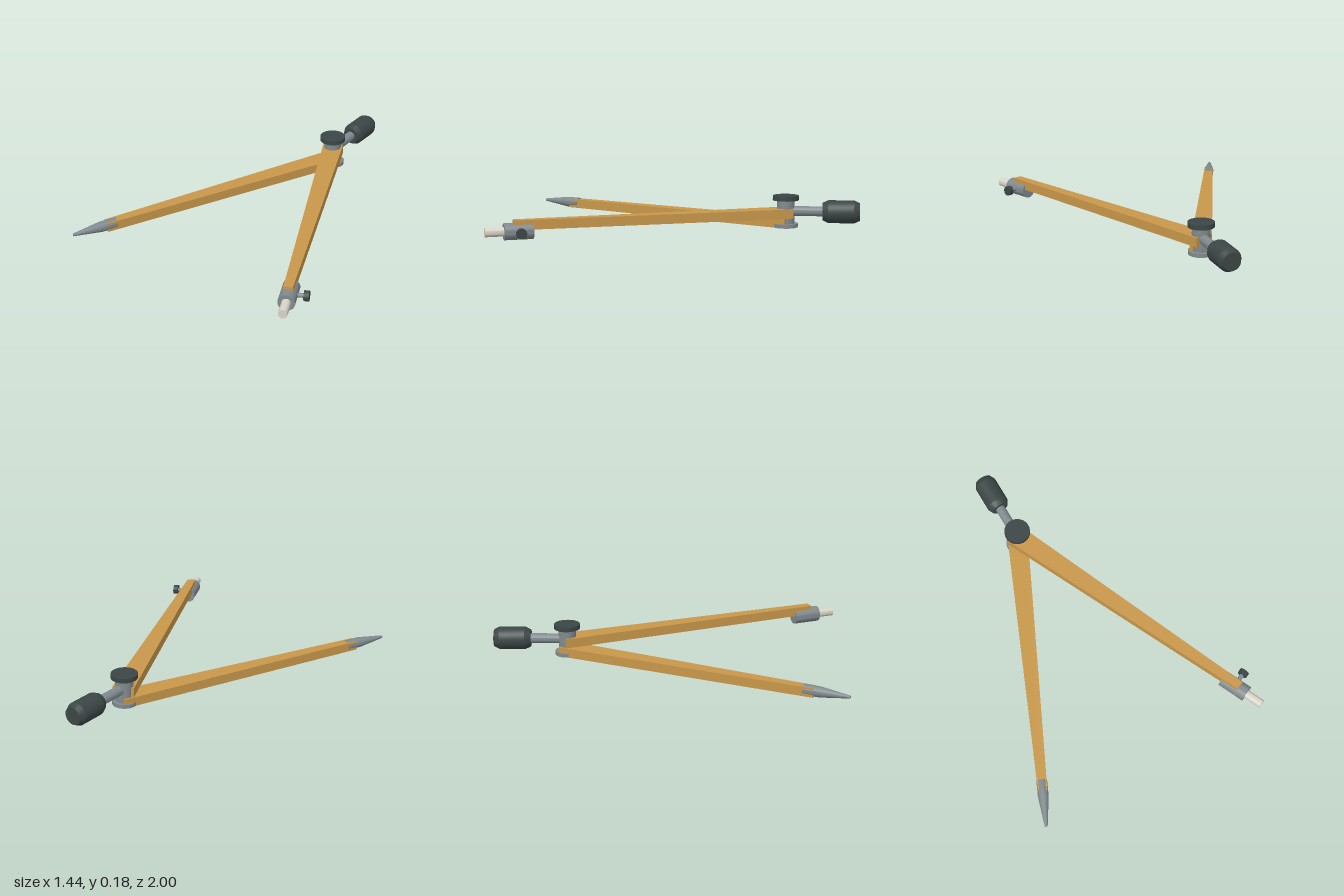
import * as THREE from 'three';
import { toCreasedNormals } from 'three/addons/utils/BufferGeometryUtils.js';

const wood = new THREE.MeshStandardMaterial({ color: 0xc8974a });
const metal = new THREE.MeshStandardMaterial({ color: 0x808a8e });
const dark = new THREE.MeshStandardMaterial({ color: 0x3c4646 });
const chalk = new THREE.MeshStandardMaterial({ color: 0xd8d4c8 });

const SPREAD = 0.42; // half the opening angle of the legs

function add(parent, name, geometry, material) {
  const mesh = new THREE.Mesh(geometry, material);
  mesh.name = name;
  parent.add(mesh);
  return mesh;
}

// Turned part along +y from [radius, height] pairs, with crisp edges
function turned(points) {
  const profile = points.map(([r, h]) => new THREE.Vector2(r, h));
  return toCreasedNormals(new THREE.LatheGeometry(profile, 32), 0.4);
}

function rod(radius, from, to) {
  return turned([[0, from], [radius, from], [radius, to], [0, to]]);
}

// Wooden bar along +z, narrowing towards its far end
function legBar(from, to, y0, y1, halfStart, halfEnd) {
  const g = new THREE.BoxGeometry(2, y1 - y0, to - from);
  g.translate(0, (y0 + y1) / 2, (from + to) / 2);
  const p = g.attributes.position;
  for (let i = 0; i < p.count; i++) {
    const t = (p.getZ(i) - from) / (to - from);
    p.setX(i, p.getX(i) * THREE.MathUtils.lerp(halfStart, halfEnd, t));
  }
  g.computeVertexNormals();
  return g;
}

export function createModel() {
  const model = new THREE.Group();
  model.name = 'drawingCompass';
  const pivot = new THREE.Group();
  pivot.name = 'pivot';
  pivot.position.set(-0.016, 0, -0.58);
  model.add(pivot);

  // Hinge bolt with base washer and clamping knob
  add(pivot, 'hingeBolt', rod(0.05, 0.01, 0.157), metal);
  add(pivot, 'baseWasher', rod(0.07, 0, 0.022), metal);
  add(pivot, 'clampKnob', rod(0.074, 0.155, 0.181), dark);

  // Handle pointing backwards
  const handle = new THREE.Group();
  handle.name = 'handle';
  handle.position.y = 0.093;
  handle.rotation.x = -Math.PI / 2;
  pivot.add(handle);
  add(handle, 'handleShaft', rod(0.028, 0, 0.23), metal);
  add(handle, 'handleGrip', turned([
    [0, 0.21], [0.05, 0.21], [0.065, 0.242], [0.065, 0.388], [0.05, 0.42], [0, 0.42],
  ]), dark);

  // Lower leg with its pointed steel tip
  const pointLeg = new THREE.Group();
  pointLeg.name = 'pointLeg';
  pointLeg.rotation.y = -SPREAD;
  pivot.add(pointLeg);
  add(pointLeg, 'lowerLegBar', legBar(-0.025, 1.51, 0, 0.053, 0.06, 0.026), wood);
  const tip = add(pointLeg, 'steelTip', turned([
    [0, 1.45], [0.03, 1.45], [0.03, 1.54], [0.008, 1.708], [0, 1.71],
  ]), metal);
  tip.rotation.x = Math.PI / 2;
  tip.position.y = 0.03;

  // Upper leg with chalk holder
  const chalkLeg = new THREE.Group();
  chalkLeg.name = 'chalkLeg';
  chalkLeg.rotation.y = SPREAD;
  pivot.add(chalkLeg);
  add(chalkLeg, 'upperLegBar', legBar(-0.025, 1.56, 0.055, 0.108, 0.06, 0.025), wood);
  const holder = new THREE.Group();
  holder.name = 'chalkHolder';
  holder.position.y = 0.046;
  holder.rotation.x = Math.PI / 2;
  chalkLeg.add(holder);
  add(holder, 'holderSleeve', rod(0.046, 1.453, 1.612), metal);
  add(holder, 'chalkStick', rod(0.025, 1.5, 1.715), chalk);

  // Thumbscrew on the outer side of the holder
  const screw = new THREE.Group();
  screw.name = 'thumbscrew';
  screw.position.set(0, 0.046, 1.53);
  screw.rotation.z = -Math.PI / 2;
  chalkLeg.add(screw);
  add(screw, 'screwShaft', rod(0.012, 0.02, 0.09), metal);
  add(screw, 'screwKnob', rod(0.028, 0.078, 0.106), dark);

  return model;
}
